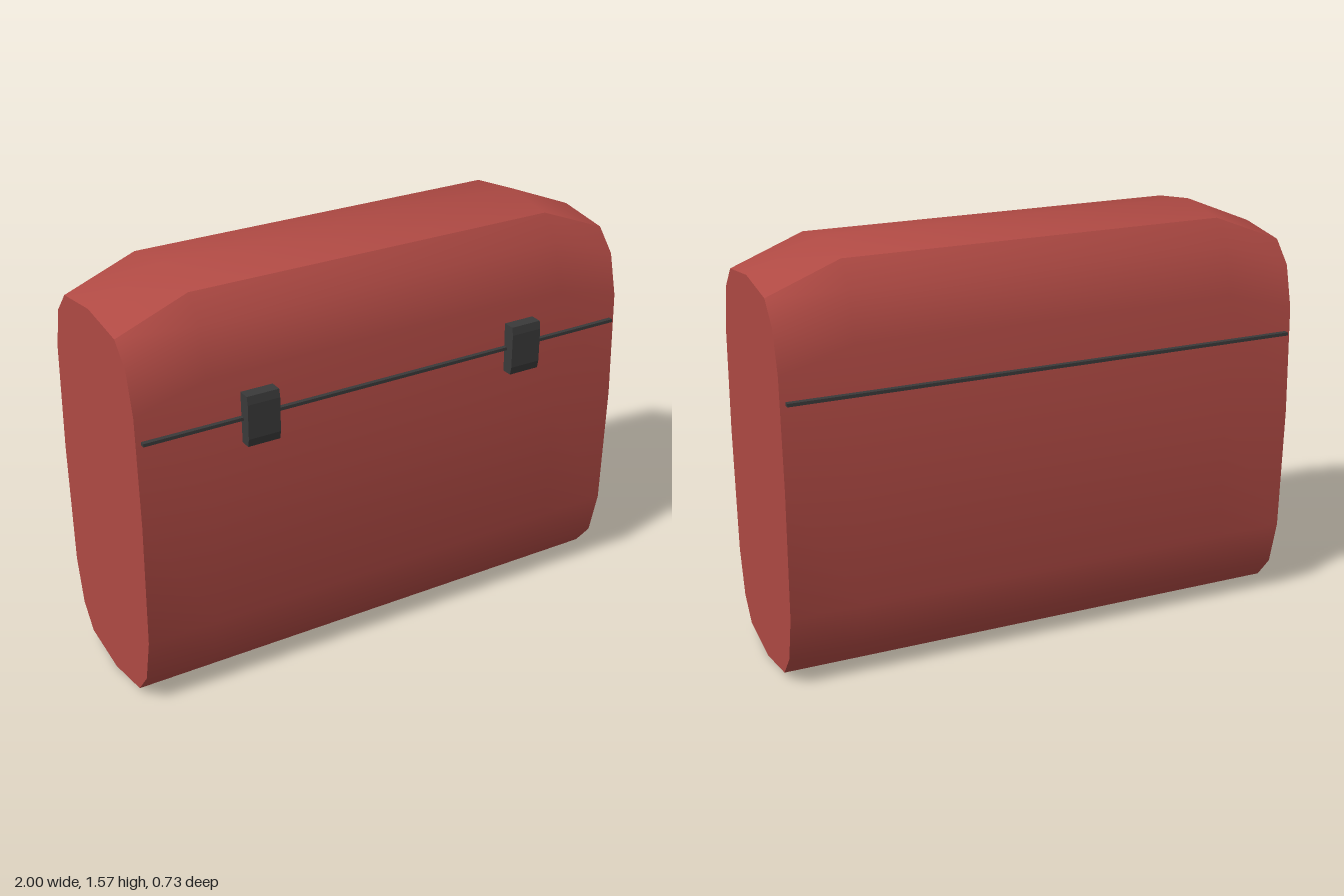
import * as THREE from 'three';
import { toCreasedNormals } from 'three/addons/utils/BufferGeometryUtils.js';

const CENTER_Z = -0.015;

// Half cross-section, top to bottom: [half depth, height, drop at the ends]
const PROFILE = [
  [0, 1.568, 0.11], [0.213, 1.537, 0.107], [0.288, 1.445, 0.098], [0.327, 1.265, 0.075],
  [0.34, 0.78, 0], [0.327, 0.3, 0], [0.286, 0.125, 0], [0.213, 0.035, 0], [0, 0, 0],
];

// Lofted body: four rings along x, with the top sloping down at both ends
function bodyGeometry() {
  const back = PROFILE.slice(1, -1).reverse().map(([z, y, d]) => [-z, y, d]);
  const ring = [...PROFILE, ...back];
  const n = ring.length;
  const stations = [[-1, 1], [-0.73, 0], [0.73, 0], [1, 1]];
  const positions = [];
  const index = [];
  for (const [x, slope] of stations) {
    for (const [z, y, drop] of ring) positions.push(x, y - drop * slope, CENTER_Z + z);
  }
  for (let i = 0; i < stations.length - 1; i++) {
    for (let j = 0; j < n; j++) {
      const k = (j + 1) % n;
      const a = i * n + j, b = i * n + k, c = b + n, d = a + n;
      index.push(a, b, c, a, c, d);
    }
  }
  // End caps
  const last = (stations.length - 1) * n;
  for (let j = 1; j < n - 1; j++) {
    index.push(last, last + j, last + j + 1);
    index.push(0, j + 1, j);
  }
  const geometry = new THREE.BufferGeometry();
  geometry.setAttribute('position', new THREE.Float32BufferAttribute(positions, 3));
  geometry.setIndex(index);
  return toCreasedNormals(geometry, 0.6);
}

// Latch: slightly bowed plate profile (z, y) extruded across its width
function latchGeometry() {
  const shape = new THREE.Shape([
    [0.3, 1.0], [0.36, 1.0], [0.366, 1.03], [0.366, 1.16], [0.36, 1.19], [0.3, 1.19],
  ].map(([z, y]) => new THREE.Vector2(-z, y)));
  const geometry = new THREE.ExtrudeGeometry(shape, { depth: 0.124, bevelEnabled: false });
  geometry.translate(0, 0, -0.062);
  geometry.rotateY(Math.PI / 2);
  return geometry;
}

export function createModel() {
  const red = new THREE.MeshStandardMaterial({ color: 0xb04a44 });
  red.name = 'case red';
  const grey = new THREE.MeshStandardMaterial({ color: 0x3a3a3a });
  grey.name = 'dark grey';

  const model = new THREE.Group();
  model.name = 'case';
  const add = (name, geometry, material, x = 0, y = 0, z = 0) => {
    const mesh = new THREE.Mesh(geometry, material);
    mesh.name = name;
    mesh.position.set(x, y, z);
    model.add(mesh);
  };

  add('caseBody', bodyGeometry(), red);

  // Lid seams along the front and back
  const seam = new THREE.BoxGeometry(1.96, 0.012, 0.04);
  add('frontSeam', seam, grey, 0, 1.095, CENTER_Z + 0.328);
  add('backSeam', seam, grey, 0, 1.095, CENTER_Z - 0.331);

  // Pair of latches on the front
  const latch = latchGeometry();
  add('leftLatch', latch, grey, 0.547);
  add('rightLatch', latch, grey, -0.547);

  return model;
}
